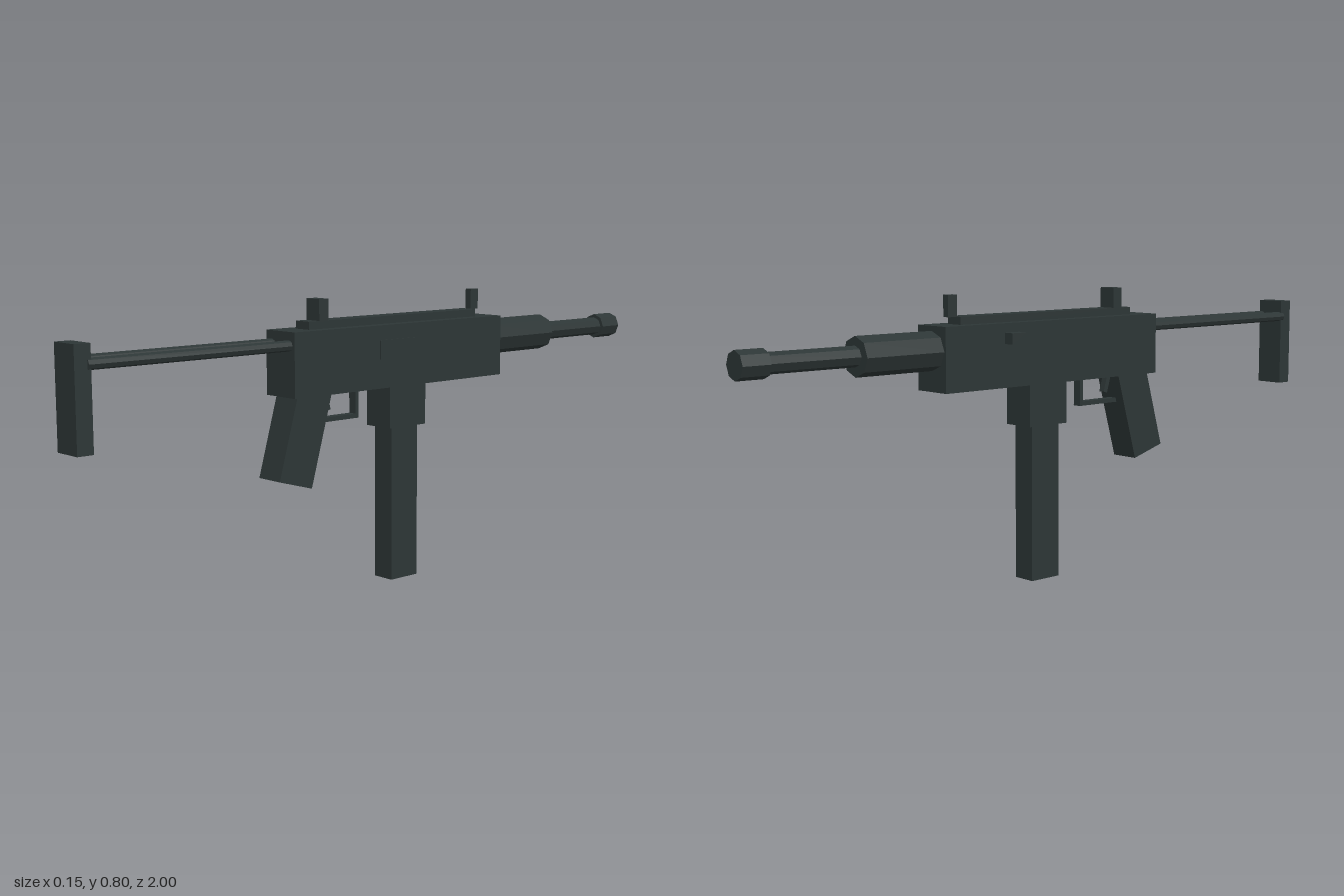
import * as THREE from 'three';

export function createModel() {
  const model = new THREE.Group();
  const CX = 0.0135; // centre line; the side handle shifts it off x = 0
  const metal = new THREE.MeshStandardMaterial({ color: 0x2d3636 });
  metal.name = 'gunmetal';
  metal.flatShading = true;

  const add = (name, geometry, x, y, z) => {
    const mesh = new THREE.Mesh(geometry, metal);
    mesh.name = name;
    mesh.position.set(x, y, z);
    model.add(mesh);
    return mesh;
  };
  // Box on the centre line, given its height and depth ranges
  const block = (name, width, y0, y1, z0, z1, x = CX) =>
    add(name, new THREE.BoxGeometry(width, y1 - y0, z1 - z0), x, (y0 + y1) / 2, (z0 + z1) / 2);
  // Eight-sided rod along z
  const rod = (name, radius, x, y, z0, z1) =>
    add(name, new THREE.CylinderGeometry(radius, radius, z1 - z0, 8).rotateX(Math.PI / 2), x, y, (z0 + z1) / 2);

  // Body and top rail
  block('receiver', 0.115, 0.55, 0.722, -0.42, 0.36);
  block('topRail', 0.052, 0.715, 0.743, -0.345, 0.285);
  block('rearSight', 0.052, 0.74, 0.8, 0.217, 0.249);
  block('frontSight', 0.02, 0.742, 0.8, -0.373, -0.343);

  // Side details
  block('chargingHandle', 0.036, 0.667, 0.697, -0.22, -0.17, -0.057);
  block('ejectionPort', 0.008, 0.63, 0.682, -0.07, 0.06, 0.0707);

  // Handguard, barrel and muzzle
  rod('handguard', 0.052, CX, 0.657, -0.66, -0.41);
  rod('barrel', 0.027, CX, 0.658, -0.93, -0.65);
  rod('muzzle', 0.037, CX, 0.658, -1, -0.922);

  // Magazine
  block('magazineWell', 0.094, 0.434, 0.56, -0.123, 0.013);
  block('magazine', 0.068, 0, 0.45, -0.104, -0.005);

  // Raked grip: the foot is its pivot
  const grip = add('grip', new THREE.BoxGeometry(0.085, 0.28, 0.113).translate(0, 0.14, 0), CX, 0.319, 0.347);
  grip.rotation.x = -0.28;

  // Trigger and its guard
  const trigger = add('trigger', new THREE.BoxGeometry(0.018, 0.065, 0.014), CX, 0.532, 0.212);
  trigger.rotation.x = 0.28;
  block('triggerGuardBottom', 0.025, 0.47, 0.482, 0.098, 0.26);
  block('triggerGuardFront', 0.025, 0.47, 0.555, 0.098, 0.11);

  // Stock: two rods and a butt plate
  for (const side of [-1, 1]) rod(side > 0 ? 'leftStockRod' : 'rightStockRod', 0.0145, CX + side * 0.035, 0.686, 0.35, 0.965);
  block('buttPlate', 0.085, 0.474, 0.735, 0.955, 1);

  return model;
}
